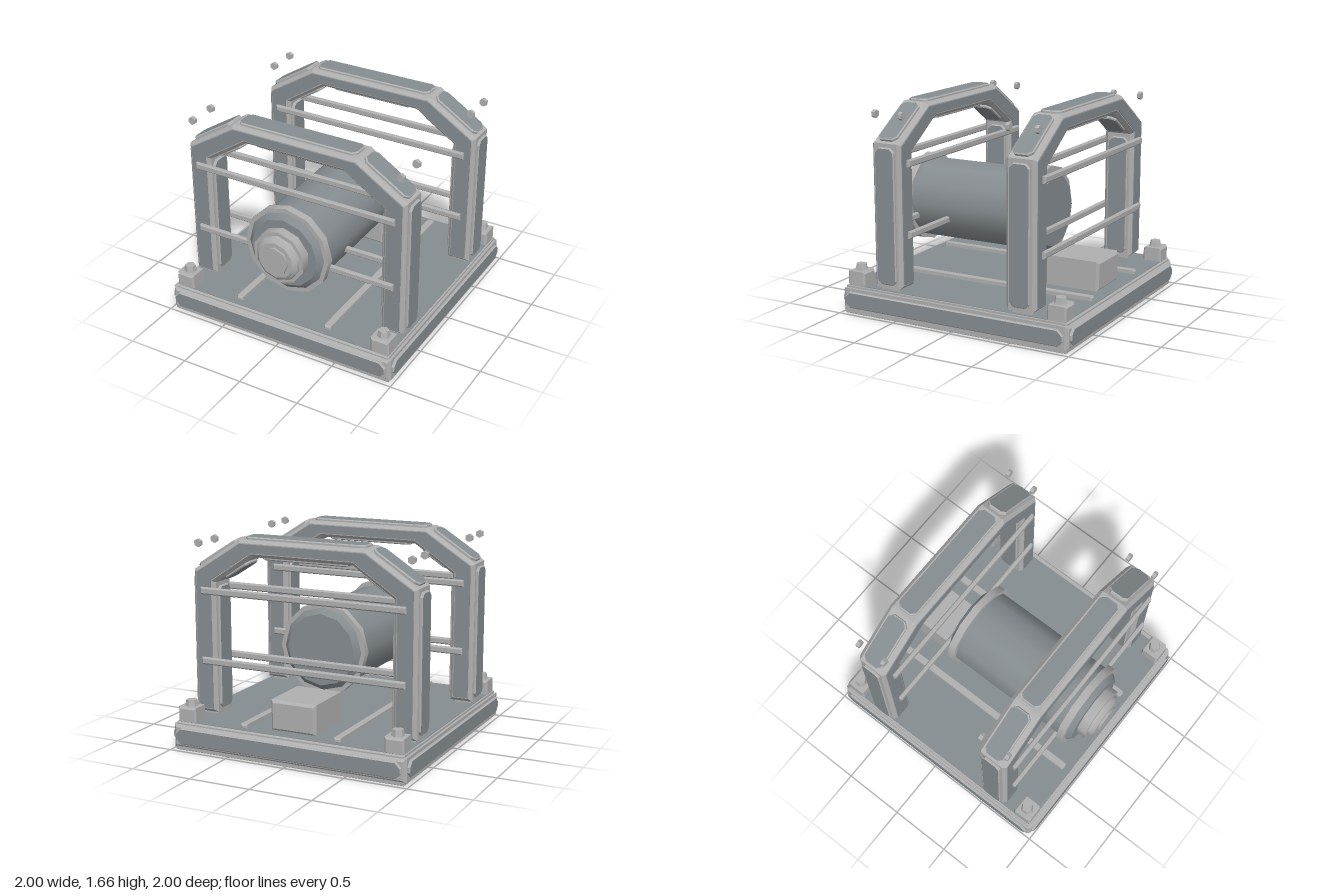
import * as THREE from 'three';

const dark = new THREE.MeshStandardMaterial({ color: 0x868d91 });
dark.name = 'slate grey';
const light = new THREE.MeshStandardMaterial({ color: 0xb0b0b0 });
light.name = 'light grey';

function add(parent, name, geometry, material, x = 0, y = 0, z = 0) {
  const mesh = new THREE.Mesh(geometry, material);
  mesh.name = name;
  mesh.position.set(x, y, z);
  parent.add(mesh);
  return mesh;
}

function polygon(points) {
  return new THREE.Shape(points.map(([x, y]) => new THREE.Vector2(x, y)));
}

// Extrusion centred on z, with a single chamfer of size c
function extrude(shape, depth, c) {
  const g = new THREE.ExtrudeGeometry(shape, {
    depth: depth - 2 * c, bevelEnabled: c > 0, bevelSize: c, bevelThickness: c, bevelSegments: 1,
  });
  return g.translate(0, 0, -depth / 2 + c);
}

// Box with chamfered edges
function chamferBox(w, h, d, c) {
  const a = w / 2 - c, b = h / 2 - c;
  return extrude(polygon([[-a, -b], [a, -b], [a, b], [-a, b]]), d, c);
}

// Clipped-corner cover plate facing +z
function plate(w, h, t, cut) {
  const c = 0.008, a = w / 2 - c, b = h / 2 - c;
  return extrude(polygon([
    [-a + cut, -b], [a - cut, -b], [a, -b + cut], [a, b - cut],
    [a - cut, b], [-a + cut, b], [-a, b - cut], [-a, -b + cut],
  ]), t, c);
}

// Arch outline, drawn inwards by o on every edge
function archShape(o) {
  const right = [
    [0.53 - 0.27 * o, 1.64 - o], [0.94 - o, 1.38 - 0.55 * o], [0.94 - o, 0.25 + o],
    [0.75 + o, 0.25 + o], [0.75 + o, 1.29 + 0.55 * o], [0.42 + 0.27 * o, 1.51 + o],
  ];
  return polygon([...right, ...right.map(([x, y]) => [-x, y]).reverse()]);
}

function createArch() {
  const arch = new THREE.Group();
  arch.name = 'archFrame';
  add(arch, 'archBody', extrude(archShape(0.025), 0.25, 0.025), light);
  add(arch, 'archFaces', extrude(archShape(0.032), 0.26, 0), dark);

  // Cover plates around the outside and inside of the arch
  const cover = (name, x, y, angle, length, width = 0.17) => {
    const g = plate(length, width, 0.04, 0.03).rotateX(-Math.PI / 2);
    add(arch, name, g, [dark, light], x, y).rotation.z = angle;
  };
  const slope = Math.atan2(0.26, 0.41);
  cover('topCover', 0, 1.64, 0, 1.01);
  cover('topInnerCover', 0, 1.51, Math.PI, 0.73);
  for (const s of [-1, 1]) {
    cover('shoulderCover', s * 0.74, 1.512, -s * slope, 0.43);
    cover('shoulderInnerCover', s * 0.588, 1.398, Math.PI - s * slope, 0.27);
    cover('legCover', s * 0.94, 0.815, -s * Math.PI / 2, 1.07);
    cover('legInnerCover', s * 0.75, 0.77, s * Math.PI / 2, 0.98);
    add(arch, 'foot', chamferBox(0.15, 0.06, 0.17, 0.01), light, s * 0.845, 0.25);
    // Hovering hex studs beside the shoulders
    for (const z of [-0.118, 0.118]) {
      const stud = new THREE.CylinderGeometry(0.032, 0.032, 0.03, 6).toNonIndexed();
      stud.computeVertexNormals();
      add(arch, 'hexStud', stud.rotateX(Math.PI / 2).rotateZ(Math.PI), light, s * 0.89, 1.59, z);
    }
  }

  // Cross rails on both faces
  for (const z of [-0.143, 0.143]) {
    for (const y of [0.67, 1.225]) {
      add(arch, 'crossRail', chamferBox(1.72, 0.055, 0.036, 0.01), light, 0, y, z);
    }
  }
  return arch;
}

function createBase() {
  const base = new THREE.Group();
  base.name = 'base';
  add(base, 'baseBody', chamferBox(1.96, 0.19, 1.96, 0.025), light, 0, 0.115);
  add(base, 'bottomRim', new THREE.BoxGeometry(1.93, 0.03, 1.93), light, 0, 0.02);
  add(base, 'bottomPlate', new THREE.BoxGeometry(1.92, 0.006, 1.92), dark, 0, 0.003);
  add(base, 'deckRim', chamferBox(1.92, 0.04, 1.92, 0.01), light, 0, 0.206);
  add(base, 'deckPlate', new THREE.BoxGeometry(1.89, 0.006, 1.89), dark, 0, 0.227);

  // Side panels
  for (let i = 0; i < 4; i++) {
    const a = i * Math.PI / 2;
    const panel = add(base, 'sidePanel', plate(1.9, 0.13, 0.04, 0.04), [dark, light],
      Math.sin(a) * 0.98, 0.12, Math.cos(a) * 0.98);
    panel.rotation.y = a;
  }

  // Corner blocks with hex bolts
  for (const x of [-0.872, 0.872]) {
    for (const z of [-0.872, 0.872]) {
      add(base, 'cornerBlock', chamferBox(0.155, 0.13, 0.155, 0.015), light, x, 0.278, z);
      const bolt = new THREE.CylinderGeometry(0.042, 0.052, 0.05, 6).toNonIndexed();
      bolt.computeVertexNormals();
      add(base, 'cornerBolt', bolt, light, x, 0.367, z);
    }
  }

  // Deck strips and rear box
  for (const x of [-0.395, 0.395]) {
    add(base, 'deckStrip', chamferBox(0.056, 0.04, 1.79, 0.012), light, x, 0.24, -0.005);
  }
  add(base, 'rearBox', chamferBox(0.38, 0.24, 0.46, 0.02), light, 0, 0.345, -0.615);
  return base;
}

function createDrum() {
  const drum = new THREE.Group();
  drum.name = 'drum';
  drum.position.y = 0.77;
  // name, rear radius, front radius, rear z, front z, sides, colour
  const sections = [
    ['barrel', 0.328, 0.328, -0.34, 0.81, 12, dark],
    ['rearTaper', 0.285, 0.328, -0.38, -0.34, 12, dark],
    ['frontTaper', 0.328, 0.285, 0.81, 0.85, 12, dark],
    ['rearFlange', 0.363, 0.363, -0.34, -0.28, 12, light],
    ['frontFlange', 0.363, 0.363, 0.75, 0.81, 12, light],
    ['hubDisc', 0.222, 0.222, 0.85, 0.925, 10, light],
    ['hubStep', 0.19, 0.185, 0.925, 0.945, 10, light],
    ['hubTaper', 0.185, 0.15, 0.945, 0.97, 10, light],
    ['hubCap', 0.115, 0.115, 0.97, 0.988, 8, light],
  ];
  for (const [name, r0, r1, z0, z1, n, material] of sections) {
    const g = new THREE.CylinderGeometry(r1, r0, z1 - z0, n).rotateX(Math.PI / 2);
    add(drum, name, g, material, 0, 0, (z0 + z1) / 2);
  }
  return drum;
}

export function createModel() {
  const model = new THREE.Group();
  model.name = 'framedDrumMachine';
  model.add(createBase(), createDrum());
  for (const z of [-0.575, 0.575]) {
    const arch = createArch();
    arch.position.z = z;
    model.add(arch);
  }
  return model;
}
